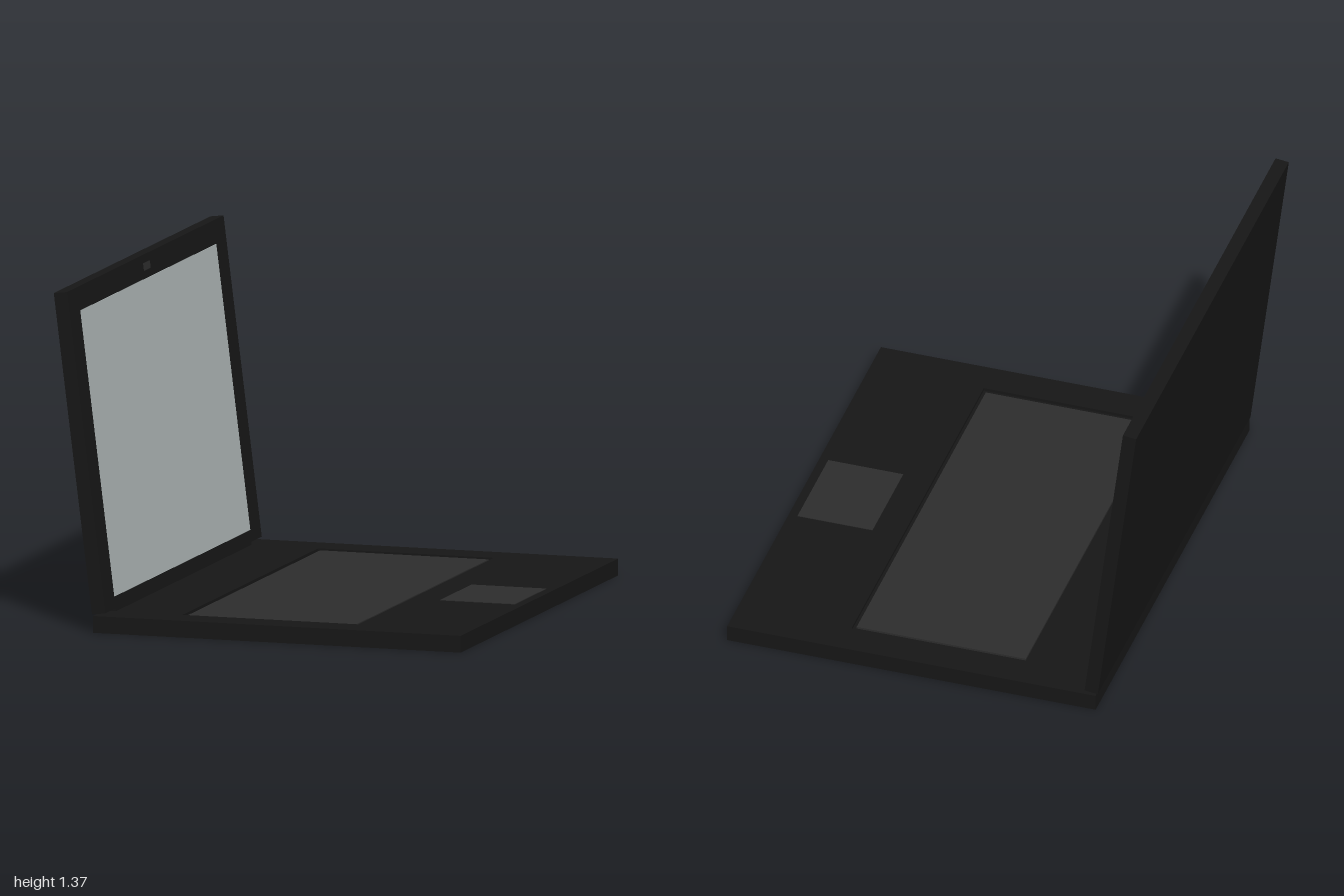
import * as THREE from 'three';

const mat = (color) => new THREE.MeshStandardMaterial({ color });
const body = mat(0x161616);
const keys = mat(0x2c2c2c);
const glass = mat(0xa8b0b0);

// Box given by its limits on each axis
function slab(name, material, [x0, x1], [y0, y1], [z0, z1]) {
  const mesh = new THREE.Mesh(new THREE.BoxGeometry(x1 - x0, y1 - y0, z1 - z0), material);
  mesh.position.set((x0 + x1) / 2, (y0 + y1) / 2, (z0 + z1) / 2);
  mesh.name = name;
  return mesh;
}

function rect(path, x0, x1, h) {
  path.moveTo(x0, -h);
  path.lineTo(x1, -h);
  path.lineTo(x1, h);
  path.lineTo(x0, h);
  path.closePath();
  return path;
}

function createBase() {
  const base = new THREE.Group();
  base.name = 'base';

  // Deck with a rectangular opening for the keyboard
  const outline = rect(new THREE.Shape(), -0.69, 0.857, 1);
  outline.holes.push(rect(new THREE.Path(), -0.36, 0.38, 0.86));
  const geometry = new THREE.ExtrudeGeometry(outline, { depth: 0.068, bevelEnabled: false });
  geometry.rotateX(-Math.PI / 2);
  const deck = new THREE.Mesh(geometry, body);
  deck.name = 'deck';

  // Sunken floor, keyboard panel and touchpad
  base.add(
    deck,
    slab('keyboardWell', body, [-0.36, 0.38], [0, 0.056], [-0.86, 0.86]),
    slab('keyboard', keys, [-0.345, 0.365], [0.056, 0.064], [-0.84, 0.84]),
    slab('touchpad', keys, [0.505, 0.82], [0.06, 0.07], [-0.2, 0.2])
  );
  return base;
}

function createLid() {
  // Local origin lies on the hinge line, the screen facing +x
  const lid = new THREE.Group();
  lid.name = 'lid';
  lid.add(
    slab('lidPanel', body, [-0.056, 0], [0.012, 1.315], [-0.993, 0.993]),
    slab('hinge', body, [-0.05, 0], [-0.03, 0.012], [-0.86, 0.86]),
    slab('screen', glass, [-0.01, 0.002], [0.06, 1.22], [-0.86, 0.86]),
    slab('camera', keys, [-0.01, 0.002], [1.252, 1.282], [-0.04, 0.04])
  );
  lid.position.set(-0.64, 0.068, 0);
  lid.rotation.z = THREE.MathUtils.degToRad(7.1);
  return lid;
}

export function createModel() {
  const model = new THREE.Group();
  model.name = 'laptop';
  model.add(createBase(), createLid());
  return model;
}
